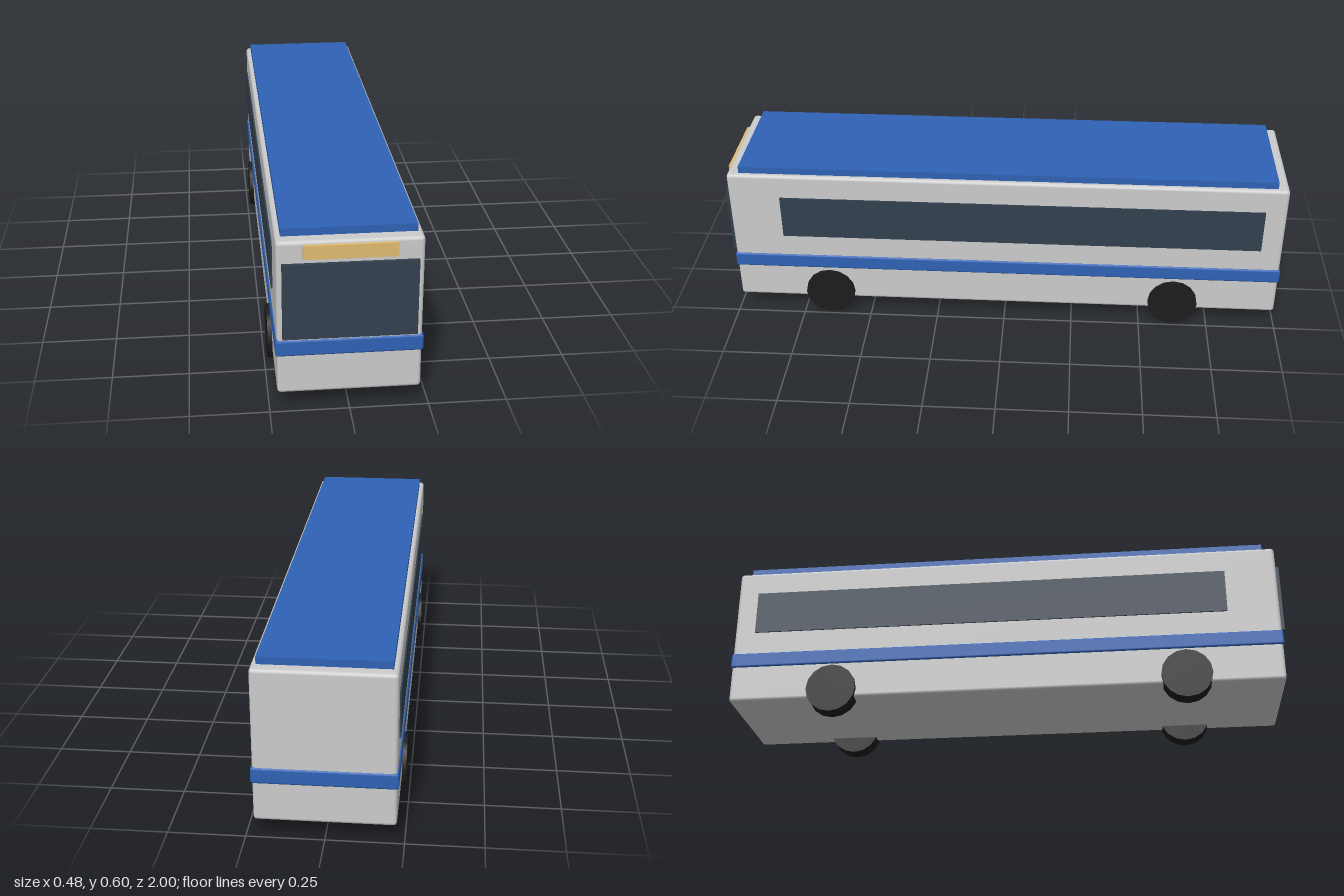
import * as THREE from 'three';
import { RoundedBoxGeometry } from 'three/addons/geometries/RoundedBoxGeometry.js';

const mat = (color) => new THREE.MeshStandardMaterial({ color });

export function createModel() {
  const bus = new THREE.Group();
  bus.name = 'bus';
  const grey = mat(0xcccccc), blue = mat(0x2f62b5), glass = mat(0x33404f);
  const rubber = mat(0x1c1c1c), amber = mat(0xe0bb70);

  // Box from its limits; a radius above zero rounds the edges
  function box(name, material, [x0, x1], [y0, y1], [z0, z1], radius = 0) {
    const size = [x1 - x0, y1 - y0, z1 - z0];
    const geometry = radius ? new RoundedBoxGeometry(...size, 2, radius) : new THREE.BoxGeometry(...size);
    const mesh = new THREE.Mesh(geometry, material);
    mesh.name = name;
    mesh.position.set((x0 + x1) / 2, (y0 + y1) / 2, (z0 + z1) / 2);
    bus.add(mesh);
  }

  // Body shell, stripe and roof
  box('body', grey, [-0.225, 0.225], [0.058, 0.578], [-0.996, 0.988], 0.012);
  box('stripe', blue, [-0.23, 0.23], [0.19, 0.246], [-1, 0.992], 0.008);
  box('roofPanel', blue, [-0.208, 0.208], [0.575, 0.603], [-0.956, 0.946]);

  // Front glass and destination sign
  box('windshield', glass, [-0.208, 0.208], [0.254, 0.507], [0.98, 1]);
  box('destinationSign', amber, [-0.144, 0.144], [0.522, 0.567], [0.98, 0.998]);

  // Side windows and wheels, mirrored left and right
  const wheelGeometry = new THREE.CylinderGeometry(0.09, 0.09, 0.062, 16).rotateZ(Math.PI / 2);
  for (const [side, s] of [['left', 1], ['right', -1]]) {
    box(side + 'Window', glass, s > 0 ? [0.215, 0.23] : [-0.23, -0.215], [0.329, 0.49], [-0.92, 0.804]);
    for (const [end, z] of [['Front', 0.647], ['Back', -0.62]]) {
      const wheel = new THREE.Mesh(wheelGeometry, rubber);
      wheel.name = side + end + 'Wheel';
      wheel.position.set(s * 0.209, 0.09, z);
      bus.add(wheel);
    }
  }
  return bus;
}
